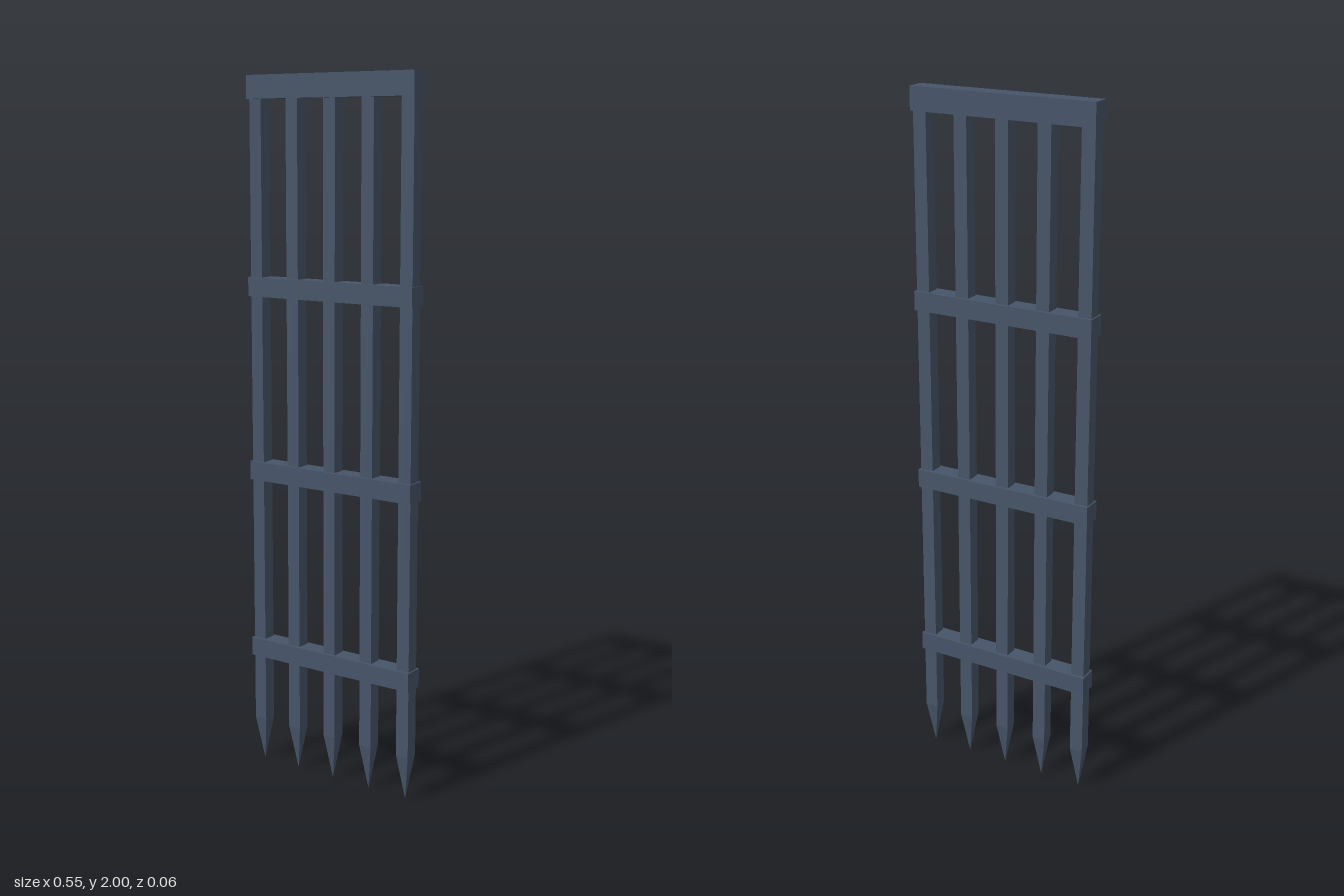
import * as THREE from 'three';

export function createModel() {
  const group = new THREE.Group();
  const iron = new THREE.MeshStandardMaterial({ color: 0x475569 });
  iron.name = 'slateIron';

  const add = (name, geometry, x, y) => {
    const mesh = new THREE.Mesh(geometry, iron);
    mesh.name = name;
    mesh.position.set(x, y, 0);
    group.add(mesh);
  };

  // Square upright bars, each ending in a four-sided spike
  const barWidth = 0.039, spikeHeight = 0.133, barTop = 1.95;
  const barGeometry = new THREE.BoxGeometry(barWidth, barTop - spikeHeight, barWidth);
  const spikeGeometry = new THREE.ConeGeometry(barWidth / Math.SQRT2, spikeHeight, 4, 1, true)
    .rotateX(Math.PI)
    .rotateY(Math.PI / 4)
    .toNonIndexed();
  spikeGeometry.computeVertexNormals();
  for (let i = -2; i <= 2; i++) {
    const x = i * 0.1245;
    add('uprightBar', barGeometry, x, (barTop + spikeHeight) / 2);
    add('spike', spikeGeometry, x, spikeHeight / 2);
  }

  // Horizontal rails: [bottom, top]
  const rails = [[0.33, 0.384], [0.863, 0.917], [1.393, 1.447], [1.936, 2]];
  rails.forEach(([bottom, top], i) => {
    const geometry = new THREE.BoxGeometry(0.545, top - bottom, 0.056);
    add(i === 3 ? 'topRail' : 'crossRail', geometry, 0, (bottom + top) / 2);
  });

  return group;
}
